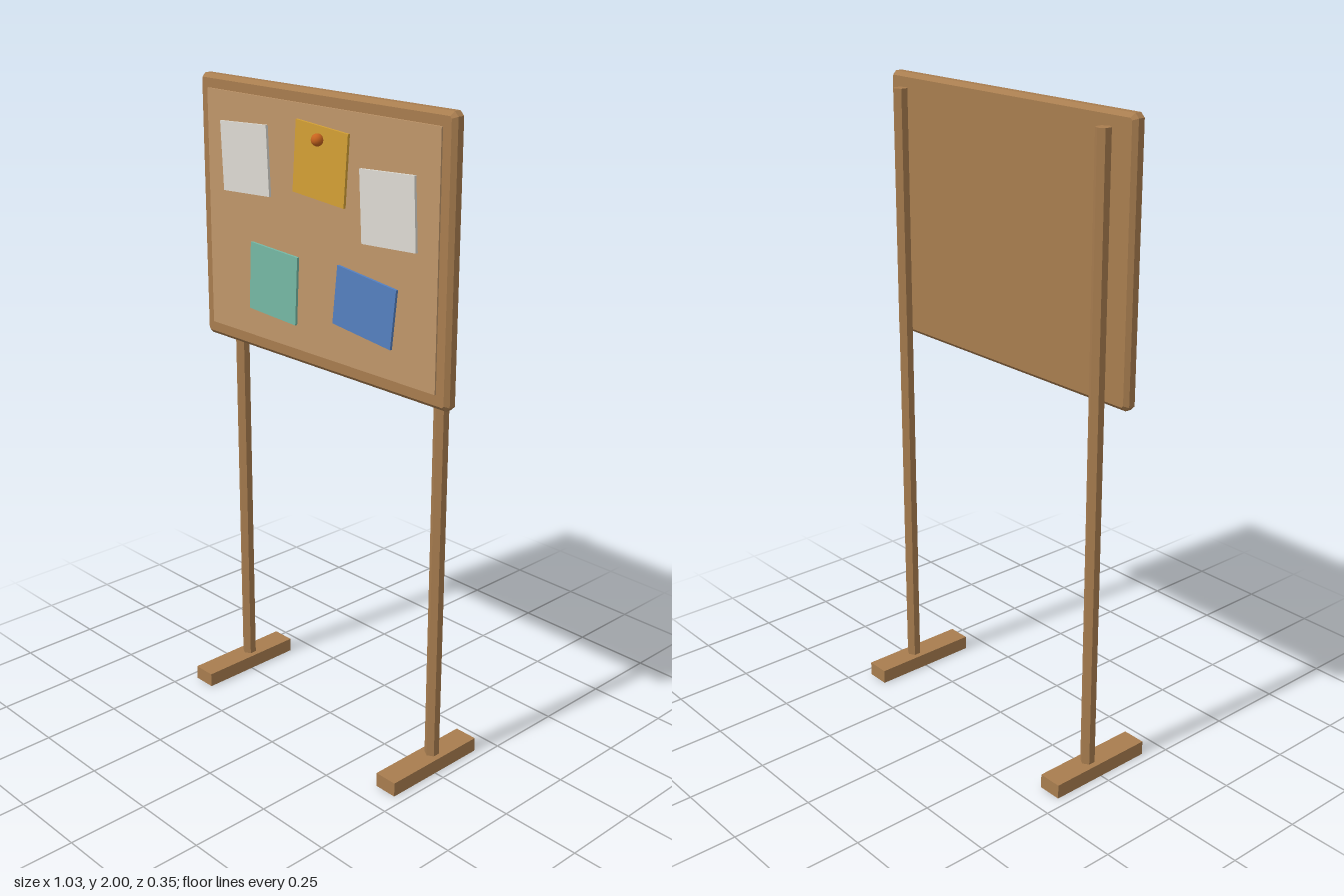
import * as THREE from 'three';

const material = (color, flatShading = true) => new THREE.MeshStandardMaterial({ color, flatShading });

export function createModel() {
  const model = new THREE.Group();
  model.name = 'noticeBoard';
  const wood = material(0xa87d4f);
  const cork = material(0xc0966a);
  const white = material(0xdedbd3);

  const add = (name, geometry, mat, x, y, z, turn = 0) => {
    const mesh = new THREE.Mesh(geometry, mat);
    mesh.name = name;
    mesh.position.set(x, y, z);
    mesh.rotation.z = THREE.MathUtils.degToRad(turn);
    model.add(mesh);
    return mesh;
  };

  // Backing board, chamfered on every edge
  const bevel = 0.012;
  const w = 0.516 - bevel, h = 0.405 - bevel, c = 0.006;
  const outline = new THREE.Shape([
    [-w + c, -h], [w - c, -h], [w, -h + c], [w, h - c],
    [w - c, h], [-w + c, h], [-w, h - c], [-w, -h + c],
  ].map(([x, y]) => new THREE.Vector2(x, y)));
  const boardGeometry = new THREE.ExtrudeGeometry(outline, {
    depth: 0.045 - 2 * bevel, bevelEnabled: true,
    bevelSize: bevel, bevelThickness: bevel, bevelSegments: 1,
  });
  add('board', boardGeometry, wood, 0, 1.595, 0.006 + bevel);

  // Thin cork panel, slightly proud of the board
  add('corkPanel', new THREE.BoxGeometry(0.95, 0.725, 0.016), cork, 0, 1.597, 0.048);

  // Hexagonal posts on flat feet
  for (const [side, s] of [['left', 1], ['right', -1]]) {
    add(side + 'Post', new THREE.CylinderGeometry(0.0225, 0.0225, 1.94, 6), wood, s * 0.43, 0.99, -0.0225);
    add(side + 'Foot', new THREE.BoxGeometry(0.075, 0.045, 0.355), wood, s * 0.43, 0.0225, 0);
  }

  // Pinned notes: name, material, x, y, width, height, tilt in degrees
  const notes = [
    ['whiteNoteRight', white, -0.3, 1.773, 0.207, 0.207, 3],
    ['yellowNote', material(0xd3a035), 0.025, 1.803, 0.212, 0.208, -4.5],
    ['whiteNoteLeft', white, 0.292, 1.714, 0.207, 0.207, 3],
    ['greenNote', material(0x76b8a5), -0.18, 1.418, 0.207, 0.207, -3],
    ['blueNote', material(0x5580c0), 0.204, 1.426, 0.234, 0.176, -6.5],
  ];
  for (const [name, mat, x, y, width, height, tilt] of notes) {
    add(name, new THREE.BoxGeometry(width, height, 0.008), mat, x, y, 0.06, tilt);
  }

  // Round push pin
  add('pushPin', new THREE.SphereGeometry(0.018, 16, 10), material(0xc8641e, false), 0.026, 1.87, 0.073);

  return model;
}
